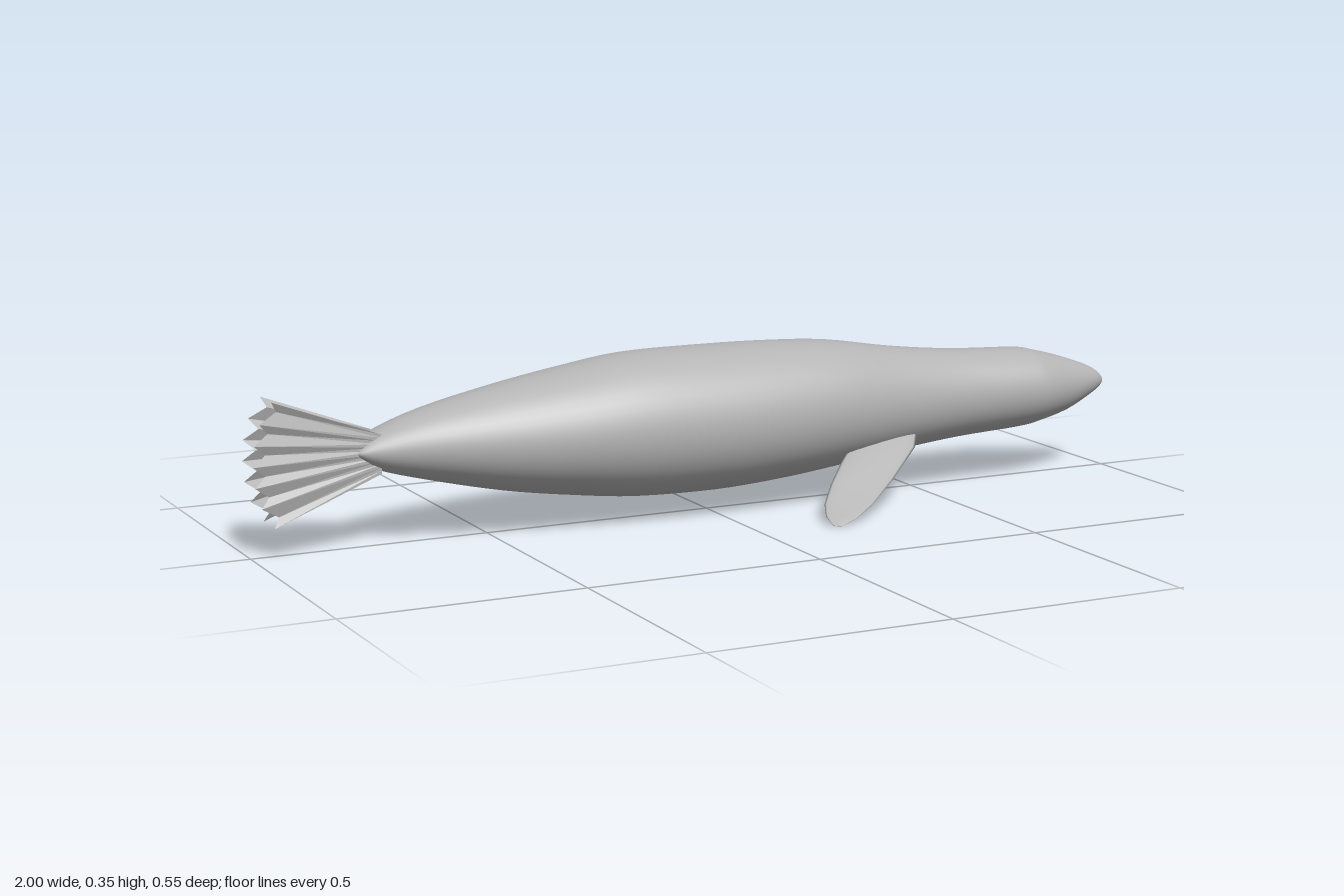
import * as THREE from 'three';

const hide = new THREE.MeshStandardMaterial({ color: 0xb4b4b4 });
hide.name = 'greyHide';
const finHide = new THREE.MeshStandardMaterial({ color: 0xb4b4b4, side: THREE.DoubleSide });
finHide.name = 'greyFin';

// Skin a list of closed rings (arrays of Vector3) with smooth normals.
function loft(rings) {
  const n = rings[0].length, index = [];
  for (let i = 0; i < rings.length - 1; i++) {
    for (let j = 0; j < n; j++) {
      const a = i * n + j, b = i * n + (j + 1) % n;
      index.push(a, b, a + n, b, b + n, a + n);
    }
  }
  const g = new THREE.BufferGeometry().setFromPoints(rings.flat());
  g.setIndex(index);
  g.computeVertexNormals();
  return g;
}

function named(geometry, material, name) {
  const m = new THREE.Mesh(geometry, material);
  m.name = name;
  return m;
}

// Body stations: x, top y, bottom y, half width.
function bodyGeometry() {
  const s = [
    [-0.787, 0.201, 0.199, 0.012], [-0.783, 0.21, 0.19, 0.034], [-0.74, 0.239, 0.161, 0.052],
    [-0.63, 0.276, 0.129, 0.085], [-0.47, 0.31, 0.092, 0.122], [-0.32, 0.335, 0.068, 0.146],
    [-0.18, 0.353, 0.052, 0.158], [0, 0.355, 0.048, 0.16], [0.15, 0.352, 0.056, 0.153],
    [0.29, 0.343, 0.07, 0.138], [0.45, 0.317, 0.09, 0.112], [0.6, 0.3, 0.105, 0.098],
    [0.76, 0.291, 0.114, 0.095], [0.81, 0.282, 0.122, 0.09], [0.885, 0.261, 0.139, 0.064],
    [0.955, 0.235, 0.17, 0.036], [0.985, 0.215, 0.187, 0.016], [0.995, 0.201, 0.199, 0.001],
  ];
  const spine = new THREE.CatmullRomCurve3(
    s.map(([x, t, b]) => new THREE.Vector3(x, (t + b) / 2, 0)), false, 'catmullrom');
  const radii = new THREE.CatmullRomCurve3(
    s.map(([, t, b, w]) => new THREE.Vector3(0, (t - b) / 2, w)), false, 'catmullrom');
  const rings = [], steps = (s.length - 1) * 4;
  for (let i = 0; i <= steps; i++) {
    const c = spine.getPoint(i / steps), r = radii.getPoint(i / steps), ring = [];
    for (let j = 0; j < 48; j++) {
      const a = j / 48 * Math.PI * 2;
      ring.push(new THREE.Vector3(c.x, c.y + r.y * Math.cos(a), r.z * Math.sin(a)));
    }
    rings.push(ring);
  }
  return loft(rings);
}

// Front flipper stations: leading edge xyz, trailing edge xyz, half thickness.
function flipperGeometry() {
  const s = [
    [0.46, 0.137, 0.09, 0.30, 0.123, 0.086, 0.009],
    [0.44, 0.117, 0.118, 0.25, 0.099, 0.13, 0.008],
    [0.35, 0.069, 0.183, 0.205, 0.069, 0.172, 0.006],
    [0.27, 0.034, 0.238, 0.168, 0.038, 0.212, 0.004],
    [0.215, 0.015, 0.267, 0.155, 0.021, 0.243, 0.003],
    [0.175, 0.005, 0.276, 0.156, 0.008, 0.268, 0.002],
    [0.164, 0.005, 0.273, 0.162, 0.005, 0.273, 0.0005],
  ];
  const up = new THREE.Vector3(0, 0.81, 0.59);
  return loft(s.map(([lx, ly, lz, tx, ty, tz, h]) => {
    const lead = new THREE.Vector3(lx, ly, lz), trail = new THREE.Vector3(tx, ty, tz);
    const mid = lead.clone().add(trail).multiplyScalar(0.5), half = lead.clone().sub(mid);
    return Array.from({ length: 16 }, (_, j) => {
      const a = j / 16 * Math.PI * 2;
      return mid.clone().addScaledVector(half, Math.cos(a)).addScaledVector(up, h * Math.sin(a));
    });
  }));
}

// Pleated tail fan with seven pointed toes; odd rays are the notches between them.
function tailFanGeometry() {
  const pts = [], index = [], rays = 12;
  for (let i = 0; i <= rays; i++) {
    const k = i / rays * 2 - 1, notch = i % 2;
    const endX = -1.0 + 0.04 * Math.pow(Math.abs(k), 2.5) + notch * 0.026;
    pts.push(new THREE.Vector3(-0.735, 0.196 + 0.04 * k, 0));
    pts.push(new THREE.Vector3(endX, 0.194 + 0.126 * k, notch ? -0.004 : 0.004));
    if (i < rays) {
      const a = i * 2;
      index.push(a, a + 2, a + 1, a + 2, a + 3, a + 1);
    }
  }
  const g = new THREE.BufferGeometry().setFromPoints(pts);
  g.setIndex(index);
  const flat = g.toNonIndexed();
  flat.computeVertexNormals();
  return flat;
}

export function createModel() {
  const model = new THREE.Group();
  model.name = 'seaMammal';
  model.add(named(bodyGeometry(), hide, 'body'));

  const flipper = flipperGeometry(), fan = tailFanGeometry();
  for (const [side, label] of [[1, 'front'], [-1, 'back']]) {
    const f = named(flipper, hide, label + 'SideFlipper');
    f.scale.z = side;
    const t = named(fan, finHide, label + 'SideTailFan');
    t.scale.z = side;
    t.position.z = side * 0.032;
    model.add(f, t);
  }
  return model;
}
